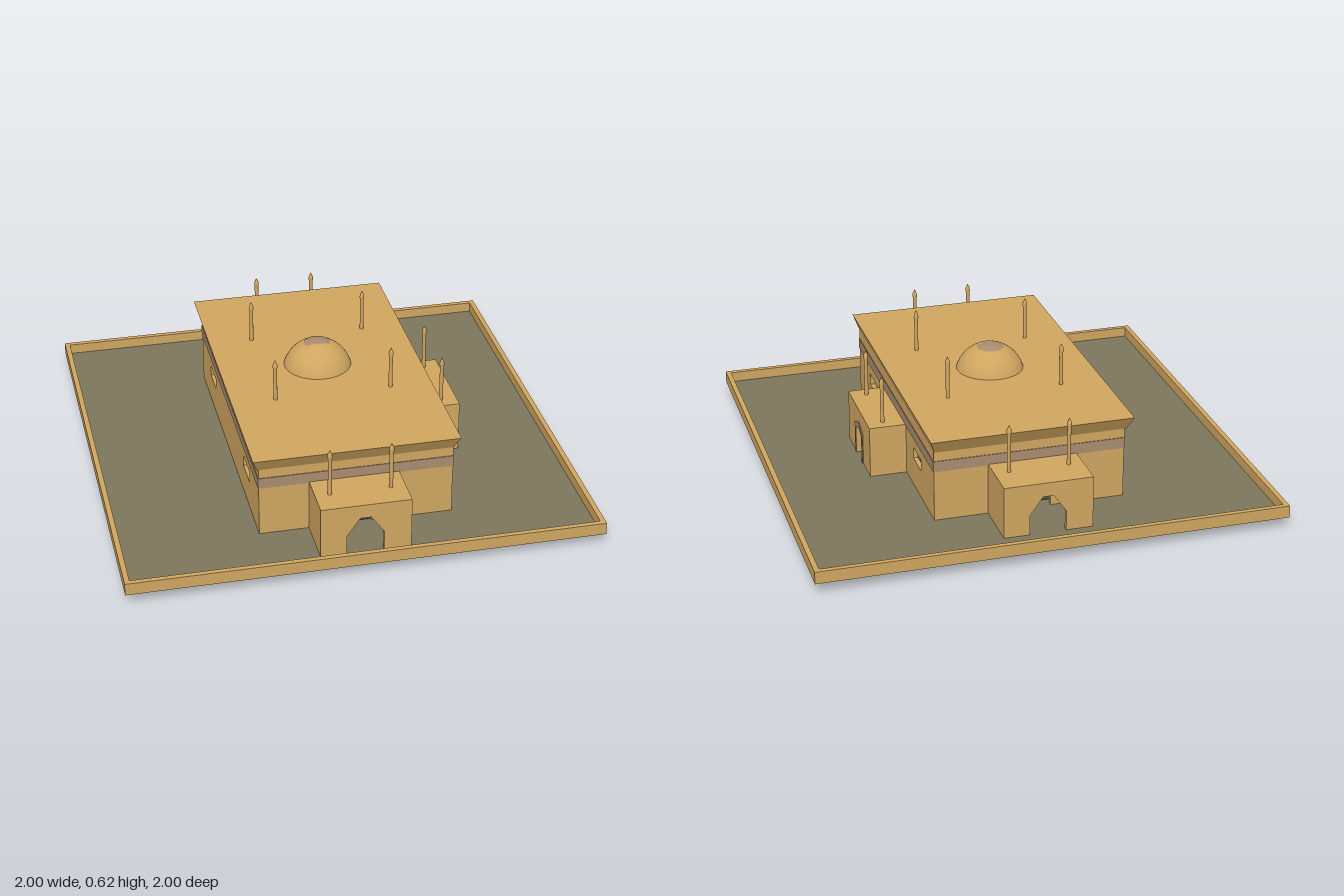
import * as THREE from 'three';

const mat = (name, color) => {
  const m = new THREE.MeshStandardMaterial({ color });
  m.name = name;
  return m;
};

export function createModel() {
  const sand = mat('sandstone', 0xd0a660);
  const band = mat('mauve stone', 0xaa8c70);
  const paving = mat('olive paving', 0x7d765d);
  const dark = mat('dark floor', 0x484848);
  const root = new THREE.Group();

  const add = (parent, name, geo, material, x = 0, y = 0, z = 0) => {
    const m = new THREE.Mesh(geo, material);
    m.name = name;
    m.position.set(x, y, z);
    parent.add(m);
    return m;
  };
  const box = (parent, name, material, x0, x1, y0, y1, z0, z1) =>
    add(parent, name, new THREE.BoxGeometry(x1 - x0, y1 - y0, z1 - z0), material,
      (x0 + x1) / 2, (y0 + y1) / 2, (z0 + z1) / 2);

  // Four-sided ring of wall with outer limits and thickness t
  const ring = (name, material, x0, x1, y0, y1, z0, z1, t) => {
    box(root, name, material, x0, x1, y0, y1, z0, z0 + t);
    box(root, name, material, x0, x1, y0, y1, z1 - t, z1);
    box(root, name, material, x0, x0 + t, y0, y1, z0 + t, z1 - t);
    box(root, name, material, x1 - t, x1, y0, y1, z0 + t, z1 - t);
  };

  // Wall panel with an optional doorway notch (points left to right) and window holes
  const wallGeo = (u0, u1, y0, y1, t, door = [], windows = []) => {
    const pts = [[u0, y0], ...door, [u1, y0], [u1, y1], [u0, y1]];
    const s = new THREE.Shape(pts.map(([u, y]) => new THREE.Vector2(u, y)));
    for (const [a, b, c, d] of windows) {
      s.holes.push(new THREE.Path([[a, c], [a, d], [b, d], [b, c]].map(p => new THREE.Vector2(...p))));
    }
    return new THREE.ExtrudeGeometry(s, { depth: t, bevelEnabled: false });
  };
  const base = 0.045, t = 0.02;
  const archway = (c = 0) => [[-0.08, base], [-0.08, 0.145], [-0.025, 0.223], [0.02, 0.223],
    [0.075, 0.145], [0.075, base]].map(([u, y]) => [u + c, y]);
  const doorway = (c = 0) => [[-0.05, base], [-0.05, 0.178], [0, 0.2], [0.05, 0.178],
    [0.05, base]].map(([u, y]) => [u + c, y]);

  // Courtyard
  box(root, 'courtyardFloor', paving, -0.98, 0.98, 0.053, 0.058, -0.98, 0.98);
  ring('courtyardWall', sand, -1, 1, 0.05, 0.103, -1, 1, 0.022);
  box(root, 'hallFloor', dark, -0.4, 0.37, 0.051, 0.06, -0.58, 0.69);

  // Main hall walls
  const X0 = -0.4, X1 = 0.42, Z0 = -0.63, Z1 = 0.7, top = 0.375;
  const windows = [[0.363, 0.497, 0.183, 0.233], [-0.42, -0.29, 0.183, 0.233]];
  add(root, 'frontWall', wallGeo(X0, X1, 0.055, top, t, archway().map(([u, y]) => [u, Math.max(y, 0.055)])), sand, 0, 0, Z1 - t);
  add(root, 'backWall', wallGeo(X0, X1, 0.055, top, t, archway().map(([u, y]) => [u, Math.max(y, 0.055)])), sand, 0, 0, Z0);
  add(root, 'rightWall', wallGeo(Z0, Z1, 0.055, top, t, [], windows), sand, X0 + t).rotation.y = -Math.PI / 2;
  add(root, 'leftWall', wallGeo(Z0, Z1, 0.055, top, t,
    doorway(0.033).map(([u, y]) => [u, Math.max(y, 0.055)]), windows), sand, X1).rotation.y = -Math.PI / 2;
  ring('wallBand', band, X0 - 0.003, X1 + 0.003, 0.28, 0.327, Z0 - 0.003, Z1 + 0.003, 0.008);

  // Roof slab with outward flaring cornice
  const roof = new THREE.BoxGeometry(0.87, 0.062, 1.41);
  const rp = roof.attributes.position;
  for (let i = 0; i < rp.count; i++) {
    if (rp.getY(i) < 0) {
      rp.setX(i, Math.sign(rp.getX(i)) * 0.413);
      rp.setZ(i, Math.sign(rp.getZ(i)) * 0.668);
    }
  }
  roof.computeVertexNormals();
  add(root, 'roofCornice', roof, sand, 0.006, 0.4, 0.034);

  // Dome with crown patch
  add(root, 'dome', new THREE.SphereGeometry(0.152, 40, 20, 0, Math.PI * 2, 0, Math.PI / 2), sand, 0, 0.388, 0);
  add(root, 'domeCrown', new THREE.SphereGeometry(0.153, 12, 6, 0, Math.PI * 2, 0, 0.4), band, 0, 0.388, -0.005);

  // Slender pinnacle with a pointed tip
  const pinnacle = (parent, x, y, z, h) => {
    const profile = [[0.0085, -0.01], [0.0085, h - 0.04], [0.0105, h - 0.035], [0.0095, h - 0.02], [0, h]];
    add(parent, 'pinnacle', new THREE.LatheGeometry(profile.map(p => new THREE.Vector2(...p)), 12), sand, x, y, z);
  };
  for (const x of [-0.24, 0.26]) for (const z of [-0.262, 0.265]) pinnacle(root, x, 0.43, z, 0.19);

  // Entrance porch, built facing +z from its rear edge
  const porch = (name, w, d, door, px, pz, x, z, turn) => {
    const g = new THREE.Group();
    g.name = name;
    add(g, 'porchFront', wallGeo(-w / 2, w / 2, base, 0.284, t, door), sand, 0, 0, d - t);
    for (const s of [-1, 1]) {
      const e = s * w / 2;
      box(g, 'porchSide', sand, Math.min(e, e - s * t), Math.max(e, e - s * t), base, 0.284, 0, d - t);
      pinnacle(g, s * px, 0.284, pz, 0.21);
    }
    box(g, 'porchRoof', sand, -w / 2 + t, w / 2 - t, 0.264, 0.284, 0, d - t);
    g.position.set(x, 0, z);
    g.rotation.y = turn;
    root.add(g);
    return g;
  };
  porch('frontPorch', 0.38, 0.22, archway(), 0.128, 0.11, 0, Z1, 0);
  porch('backPorch', 0.38, 0.23, archway(), 0.128, 0.09, 0, Z0, Math.PI);
  const side = porch('sidePorch', 0.4, 0.16, doorway(), 0.147, 0.09, X1, 0.033, Math.PI / 2);

  // Pointed surround of the side door
  const surround = new THREE.Shape([[-0.07, base], [-0.05, base], [-0.05, 0.178], [0, 0.2], [0.05, 0.178],
    [0.05, base], [0.07, base], [0.07, 0.198], [0, 0.226], [-0.07, 0.198]].map(p => new THREE.Vector2(...p)));
  add(side, 'doorSurround', new THREE.ExtrudeGeometry(surround, { depth: 0.005, bevelEnabled: false }), band, 0, 0, 0.159);

  // Interior columns running through the floor
  for (const [x, z, y] of [[0.11, 0.23, 0], [0.11, -0.35, 0.013], [-0.298, 0.23, 0.022], [-0.298, -0.35, 0.022]]) {
    add(root, 'column', new THREE.CylinderGeometry(0.025, 0.025, 0.38 - y, 20), sand, x, (0.38 + y) / 2, z);
  }
  return root;
}
